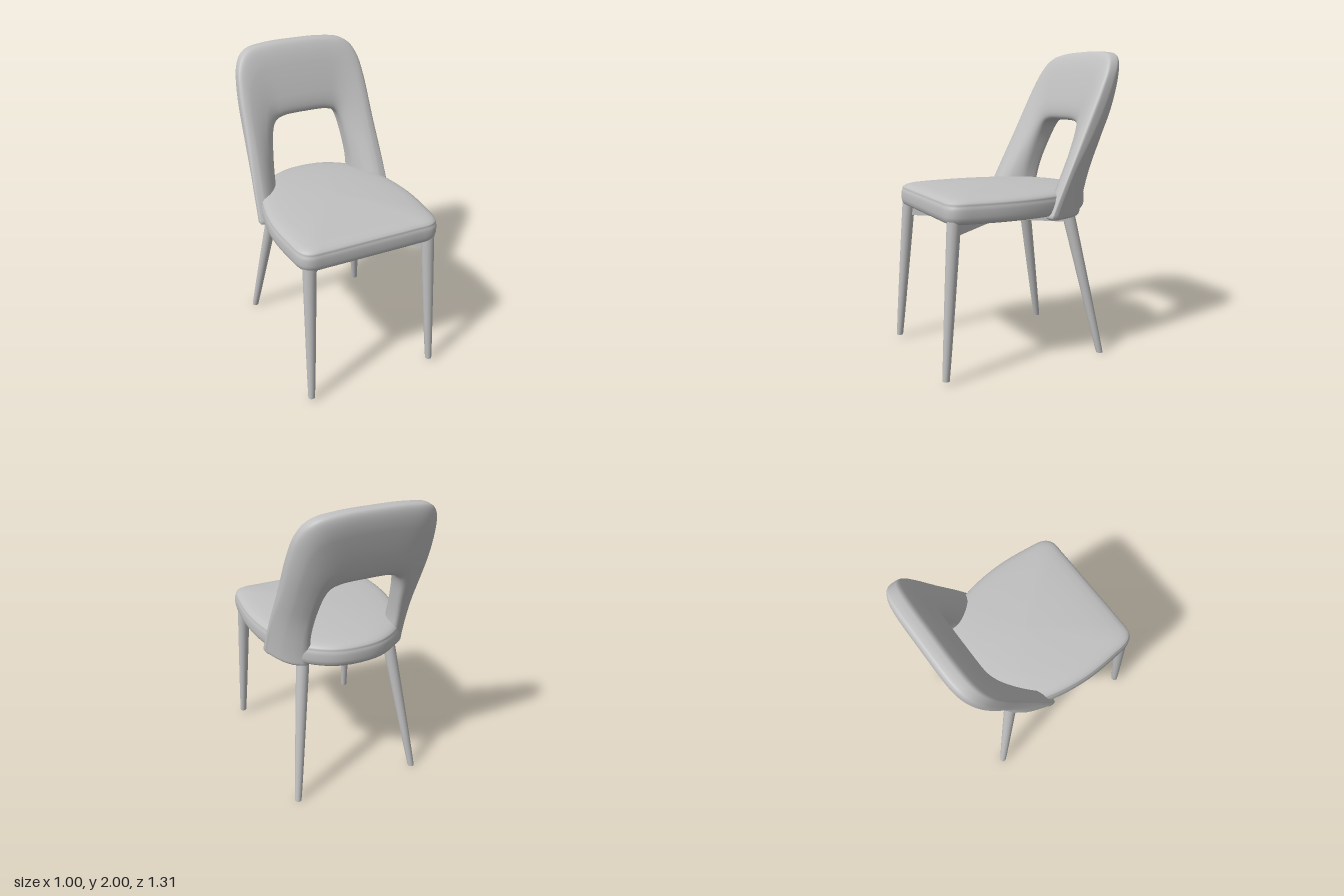
import * as THREE from 'three';

const upholstery = new THREE.MeshStandardMaterial({ color: 0xc0c0c0 });
upholstery.name = 'light grey';

// Skin a list of closed rings (equal point counts); the end rings may shrink to a point.
function loft(name, rings) {
  const n = rings[0].length, pos = [], idx = [];
  rings.forEach(r => r.forEach(p => pos.push(p.x, p.y, p.z)));
  for (let i = 0; i < rings.length - 1; i++) {
    for (let j = 0; j < n; j++) {
      const a = i * n + j, b = i * n + (j + 1) % n;
      idx.push(a, a + n, b, b, a + n, b + n);
    }
  }
  const g = new THREE.BufferGeometry();
  g.setAttribute('position', new THREE.Float32BufferAttribute(pos, 3));
  g.setIndex(idx);
  g.computeVertexNormals();
  const mesh = new THREE.Mesh(g, upholstery);
  mesh.name = name;
  return mesh;
}

// Mirror a half path that ends on x = 0 into a full smooth curve.
function mirroredCurve(half) {
  const other = half.slice(0, -1).reverse().map(([x, y]) => [-x, y]);
  return new THREE.SplineCurve([...half, ...other].map(p => new THREE.Vector2(...p)));
}

const spow = (v, e) => Math.sign(v) * Math.pow(Math.abs(v), e);

// Seat cushion: one outline stacked in layers, with a seam under the domed top
function makeSeat() {
  const half = [[0, 0.612], [0.3, 0.612], [0.42, 0.605], [0.467, 0.56], [0.49, 0.42], [0.502, 0.22],
    [0.49, 0.05], [0.455, -0.12], [0.4, -0.28], [0.3, -0.41], [0.16, -0.495], [0, -0.518]];
  const other = half.slice(1, -1).reverse().map(([x, z]) => [-x, z]);
  const outline = new THREE.CatmullRomCurve3(
    [...half, ...other].map(([x, z]) => new THREE.Vector3(x, 0, z)), true, 'centripetal').getPoints(96).slice(0, 96);
  const layers = [[0, 1.14], [0.3, 1.138], [0.6, 1.131], [0.8, 1.122], [0.9, 1.113], [0.95, 1.104],
    [0.98, 1.092], [0.988, 1.082], [0.982, 1.076], [0.992, 1.07], [1, 1.05], [1, 1.01], [0.99, 0.985],
    [0.97, 0.97], [0.93, 0.963], [0.6, 0.963], [0, 0.963]];
  return loft('seatCushion', layers.map(([s, y]) =>
    outline.map(p => new THREE.Vector3(p.x * s, y, 0.05 + (p.z - 0.05) * s))));
}

// Backrest: an arch between an outer and an inner edge, wrapped forward at the sides
function makeBackrest() {
  const outer = mirroredCurve([[0.488, 0.96], [0.482, 1.15], [0.467, 1.45], [0.455, 1.72], [0.425, 1.88],
    [0.35, 1.967], [0.2, 1.995], [0, 2]]);
  const inner = mirroredCurve([[0.275, 0.96], [0.287, 1.15], [0.272, 1.33], [0.25, 1.45], [0.215, 1.512],
    [0.15, 1.535], [0.07, 1.54], [0, 1.54]]);
  const rear = new THREE.SplineCurve([[0.94, -0.39], [1.1, -0.42], [1.27, -0.465], [1.44, -0.53],
    [1.61, -0.592], [1.78, -0.635], [1.95, -0.66], [2.12, -0.66]].map(p => new THREE.Vector2(...p)));
  const drop = y => Math.max(0, 2 - y);
  const frontZ = (x, y) => -0.06 - 0.47 * (y - 0.97)
    - 0.2 * Math.pow(drop(y) / 0.88, 2) * (1 - THREE.MathUtils.smoothstep(Math.abs(x), 0.2, 0.42));
  const backZ = (x, y) => rear.getPoint(THREE.MathUtils.clamp((y - 0.94) / 1.18, 0, 1)).y
    + (0.12 + 0.12 * Math.pow(drop(y) / 0.9, 1.5)) * Math.pow(Math.min(1, Math.abs(x) / 0.48), 6);

  const section = t => {
    const o = outer.getPoint(t), i = inner.getPoint(t), ring = [];
    for (let j = 0; j < 48; j++) {
      const a = (j / 48) * Math.PI * 2;
      const p = i.clone().lerp(o, 0.5 + 0.5 * spow(Math.cos(a), 0.45));
      const f = frontZ(p.x, p.y), b = Math.min(backZ(p.x, p.y), f - 0.06);
      ring.push(new THREE.Vector3(p.x, p.y, (f + b) / 2 + (f - b) / 2 * spow(Math.sin(a), 0.45)));
    }
    return ring;
  };
  // Rounded foot of each arm
  const shrink = (ring, s, dy) => {
    const c = ring.reduce((m, p) => m.add(p), new THREE.Vector3()).divideScalar(ring.length);
    return ring.map(p => p.clone().lerp(c, 1 - s).setY(p.y + dy));
  };
  const rings = [];
  for (let k = 0; k <= 96; k++) rings.push(section(k / 96));
  const ends = [[0, -0.022], [0.6, -0.022], [0.86, -0.019], [0.95, -0.012]];
  const start = ends.map(([s, d]) => shrink(rings[0], s, d));
  const finish = ends.map(([s, d]) => shrink(rings[96], s, d)).reverse();
  return loft('backrest', [...start, ...rings, ...finish]);
}

// Tapered round leg between two points
function makeLeg(name, top, foot) {
  const a = new THREE.Vector3(...top), b = new THREE.Vector3(...foot), rings = [];
  const ring = (c, r) => Array.from({ length: 24 }, (_, j) => {
    const t = (j / 24) * Math.PI * 2;
    return new THREE.Vector3(c.x + r * Math.cos(t), c.y, c.z + r * Math.sin(t));
  });
  rings.push(ring(b, 0), ring(b, 0.022), ring(b, 0.022));
  for (let k = 1; k <= 8; k++) {
    const t = k / 8;
    rings.push(ring(b.clone().lerp(a, t), 0.022 + 0.021 * Math.pow(t, 0.8)));
  }
  return loft(name, rings);
}

// Flat diagonal brace under the seat
function makeBrace(name, x1, z1, x2, z2) {
  const dx = x2 - x1, dz = z2 - z1;
  const brace = new THREE.Mesh(new THREE.BoxGeometry(Math.hypot(dx, dz), 0.085, 0.03), upholstery);
  brace.position.set((x1 + x2) / 2, 0.9325, (z1 + z2) / 2);
  brace.rotation.y = -Math.atan2(dz, dx);
  brace.name = name;
  return brace;
}

export function createModel() {
  const chair = new THREE.Group();
  chair.name = 'diningChair';
  chair.add(makeSeat(), makeBackrest());
  for (const [side, s] of [['Left', 1], ['Right', -1]]) {
    chair.add(makeLeg('frontLeg' + side, [s * 0.408, 0.985, 0.557], [s * 0.443, 0.022, 0.635]));
    chair.add(makeLeg('backLeg' + side, [s * 0.3, 0.985, -0.285], [s * 0.432, 0, -0.477]));
    chair.add(makeBrace('brace' + side, s * 0.4, 0.555, -s * 0.3, -0.285));
  }
  return chair;
}
